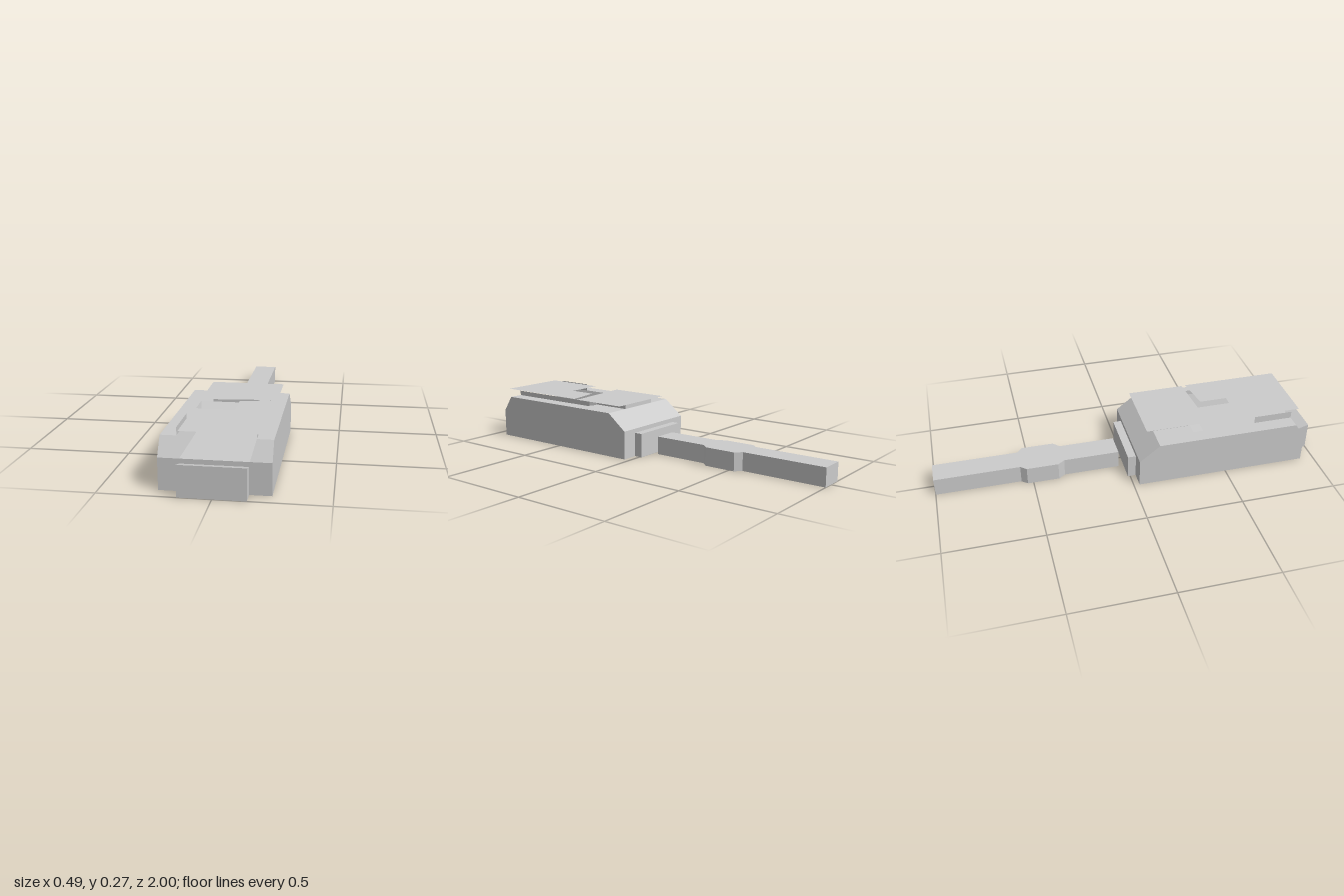
import * as THREE from 'three';

const mat = new THREE.MeshStandardMaterial({ color: 0xcccccc, flatShading: true, side: THREE.DoubleSide });

function add(group, name, geometry) {
  const mesh = new THREE.Mesh(geometry, mat);
  mesh.name = name;
  group.add(mesh);
  return mesh;
}

// Flat convex panels, each a loop of [x, y, z] corners
function panels(...loops) {
  const pos = [];
  for (const p of loops)
    for (let i = 1; i < p.length - 1; i++) pos.push(...p[0], ...p[i], ...p[i + 1]);
  const g = new THREE.BufferGeometry();
  g.setAttribute('position', new THREE.Float32BufferAttribute(pos, 3));
  g.computeVertexNormals();
  return g;
}

// Horizontal sheet from an [x, z] outline
function sheet(outline, y) {
  const g = new THREE.ShapeGeometry(new THREE.Shape(outline.map(([x, z]) => new THREE.Vector2(x, -z))));
  return g.rotateX(-Math.PI / 2).translate(0, y, 0);
}

// Upright walls following an [x, z] outline; top(z) gives the wall height
function walls(outline, top, base = 0) {
  return panels(...outline.map(([x, z], i) => {
    const [x2, z2] = outline[(i + 1) % outline.length];
    return [[x, base, z], [x2, base, z2], [x2, top(z2), z2], [x, top(z), z]];
  }));
}

const rect = (x0, x1, z0, z1) => [[x0, z0], [x0, z1], [x1, z1], [x1, z0]];

export function createModel() {
  const model = new THREE.Group();
  model.name = 'building';

  const W = 0.245, EAVE = 0.147, ROOF = 0.23;      // hall half width and heights
  const B = 0.03, RB = 0.135, RF = 0.875, F = 0.93; // hall back to front
  const TOP = 0.172, LOW = 0.15;                    // trough half widths
  const T0 = 0.335, T1 = 0.43;                      // trough rear slope

  // Hall shell, open underneath
  const hall = new THREE.Group();
  hall.name = 'hall';
  model.add(hall);
  add(hall, 'endWalls', panels(
    [[-W, 0, F], [W, 0, F], [W, EAVE, F], [-W, EAVE, F]],
    [[W, 0, B], [-W, 0, B], [-W, EAVE, B], [W, EAVE, B]]));
  add(hall, 'rearRoof', panels(
    [[W, EAVE, B], [-W, EAVE, B], [-W, ROOF, RB], [W, ROOF, RB]],
    [[-W, ROOF, RB], [-W, ROOF, T0], [W, ROOF, T0], [W, ROOF, RB]]));

  // Sunken trough in the roof, open at the front
  add(hall, 'troughFloor', panels(
    [[-LOW, EAVE, T1], [-LOW, EAVE, F], [LOW, EAVE, F], [LOW, EAVE, T1]],
    [[-TOP, ROOF, T0], [-LOW, EAVE, T1], [LOW, EAVE, T1], [TOP, ROOF, T0]]));

  for (const s of [1, -1]) {
    // Corners are reversed on the right so that panels face outward
    const m = (...loop) => {
      const l = loop.map(([x, y, z]) => [s * x, y, z]);
      return s > 0 ? l : l.reverse();
    };
    add(hall, 'sideWall', panels(
      m([W, 0, F], [W, 0, B], [W, EAVE, B], [W, ROOF, RB], [W, ROOF, RF], [W, EAVE, F])));
    add(hall, 'roofStrip', panels(m([TOP, ROOF, T0], [TOP, ROOF, RF], [W, ROOF, RF], [W, ROOF, T0])));
    add(hall, 'frontBevel', panels(m([LOW, EAVE, F], [W, EAVE, F], [W, ROOF, RF], [TOP, ROOF, RF])));
    add(hall, 'troughSide', panels(
      m([TOP, ROOF, T0], [LOW, EAVE, T1], [LOW, EAVE, F], [TOP, ROOF, RF])));

    // Row of small windows
    for (let i = 0; i < 5; i++) {
      const win = add(hall, 'window', new THREE.PlaneGeometry(0.068, 0.055));
      win.rotation.y = s * Math.PI / 2;
      win.position.set(s * (W + 0.001), 0.097, 0.235 + i * 0.14);
    }
  }

  // Uprights and raised box that carry the canopies
  add(model, 'leftUpright', panels(
    [[TOP, ROOF, RF], [TOP, ROOF, T0], [TOP, 0.255, T0], [TOP, 0.255, RF]]));
  add(model, 'rightUpright', panels(
    [[-TOP, ROOF, 0.67], [-TOP, ROOF, RF], [-TOP, 0.267, RF], [-TOP, 0.267, 0.67]]));
  add(model, 'canopyBox', walls(rect(-0.111, 0.111, RB, T0), () => 0.263, ROOF));

  // Thin canopies
  add(model, 'rearCanopy', sheet([[-0.155, 0.09], [-0.155, 0.423], [0.21, 0.39], [0.21, 0.09]], 0.265));
  add(model, 'frontCanopy', sheet(
    [[-0.155, 0.585], [-0.155, 0.925], [0.21, 0.925], [0.21, 0.41], [0.035, 0.44], [0.035, 0.585]], 0.267));

  // Front porch with a top that falls towards the hall
  const porch = z => (z > 0.95 ? 0.145 : 0.125);
  add(model, 'frontPorch', walls(rect(-LOW, 0.147, F, 1), porch));
  add(model, 'frontPorchTop', panels(
    [[-LOW, 0.125, F], [-LOW, 0.145, 1], [0.147, 0.145, 1], [0.147, 0.125, F]]));

  // Rear porch
  const rear = rect(-0.165, 0.16, -0.012, B);
  add(model, 'rearPorch', walls(rear, () => 0.125));
  add(model, 'rearPorchTop', sheet(rear, 0.125));

  // Long separate wing with a wider middle, open underneath
  const wing = [
    [-0.07, -1], [-0.07, -0.56], [-0.095, -0.53], [-0.095, -0.365], [-0.07, -0.33], [-0.07, -0.04],
    [0.055, -0.04], [0.055, -0.33], [0.087, -0.365], [0.087, -0.53], [0.055, -0.56], [0.055, -1]];
  add(model, 'wingWalls', walls(wing, () => 0.095));
  add(model, 'wingRoof', sheet(wing, 0.095));

  return model;
}
